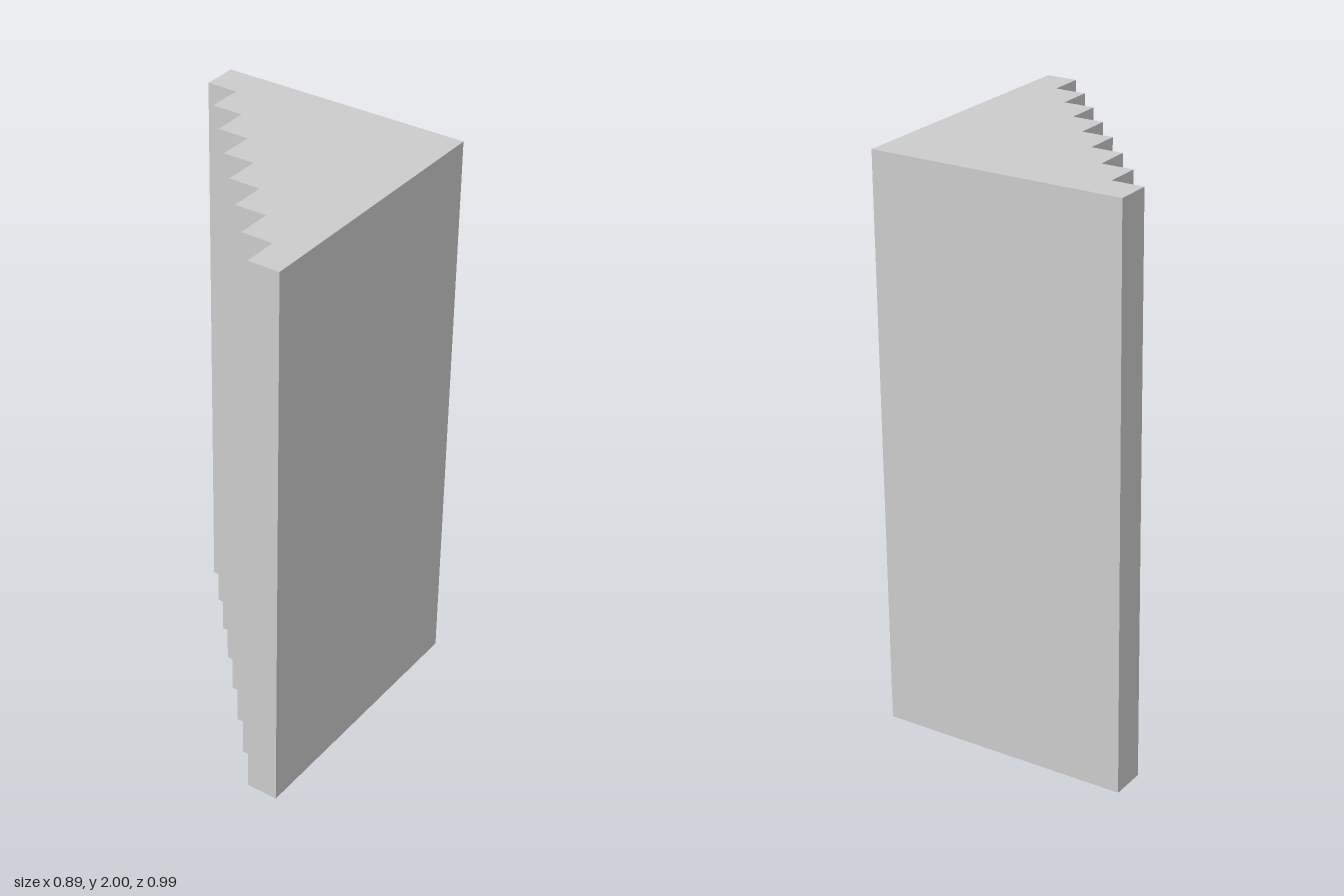
import * as THREE from 'three';

const STEPS = 8;
const TREAD = 0.1242; // step size along z
const RISE = 0.1117; // step size along x
const HEIGHT = 2;

export function createModel() {
  const group = new THREE.Group();
  group.name = 'steppedBlock';

  const halfX = (STEPS * RISE) / 2;
  const halfZ = (STEPS * TREAD) / 2;

  // Plan outline: straight back and left sides, zigzag of steps between them (shape y = -z)
  const outline = new THREE.Shape();
  outline.moveTo(halfX, halfZ);
  outline.lineTo(-halfX, halfZ);
  for (let i = 0; i < STEPS; i++) {
    const x = -halfX + i * RISE;
    const y = halfZ - (i + 1) * TREAD;
    outline.lineTo(x, y);
    outline.lineTo(x + RISE, y);
  }
  outline.closePath();

  // Raise the outline to full height, standing on the ground
  const geometry = new THREE.ExtrudeGeometry(outline, { depth: HEIGHT, bevelEnabled: false });
  geometry.rotateX(-Math.PI / 2);

  const stairs = new THREE.Mesh(
    geometry,
    new THREE.MeshStandardMaterial({ color: 0xcccccc, flatShading: true })
  );
  stairs.name = 'stairs';
  group.add(stairs);
  return group;
}
